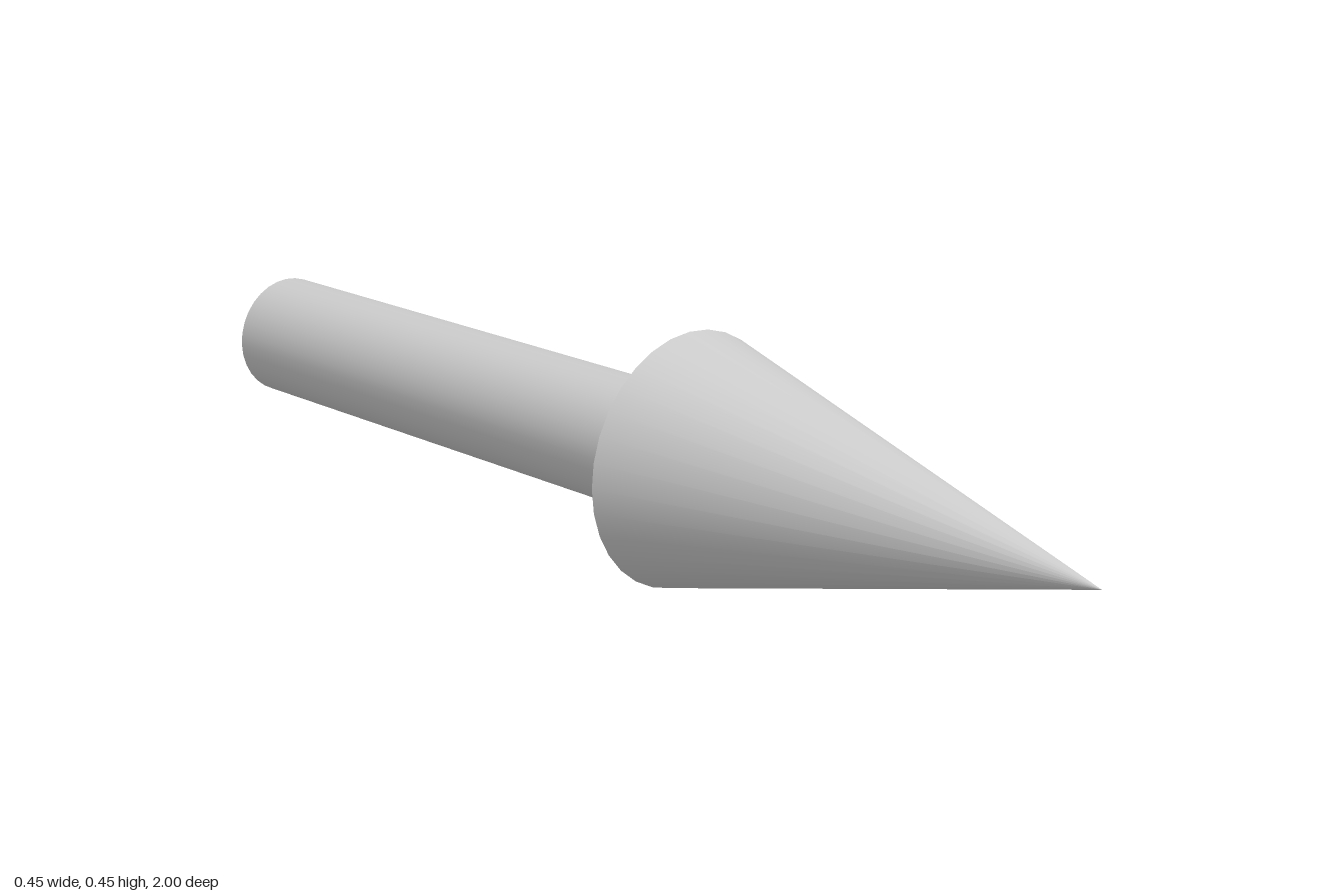
import * as THREE from 'three';

const HEAD_RADIUS = 0.227;
const SHAFT_RADIUS = 0.114;
const JOIN_Z = 0.136; // where the shaft meets the head
const SIDES = 32;

export function createModel() {
  const arrow = new THREE.Group();
  arrow.name = 'arrow';
  const material = new THREE.MeshStandardMaterial({ color: 0xcccccc });

  // Lays an upright geometry along z, between two z positions
  const addPart = (name, geometry, zBack, zFront) => {
    geometry.rotateX(Math.PI / 2);
    const mesh = new THREE.Mesh(geometry, material);
    mesh.name = name;
    mesh.position.set(0, HEAD_RADIUS, (zBack + zFront) / 2);
    arrow.add(mesh);
  };

  // Pointed head with a flat back
  addPart('arrowHead', new THREE.ConeGeometry(HEAD_RADIUS, 1 - JOIN_Z, SIDES), JOIN_Z, 1);

  // Round shaft with flat ends
  addPart('shaft', new THREE.CylinderGeometry(SHAFT_RADIUS, SHAFT_RADIUS, 1 + JOIN_Z, SIDES), -1, JOIN_Z);

  return arrow;
}
